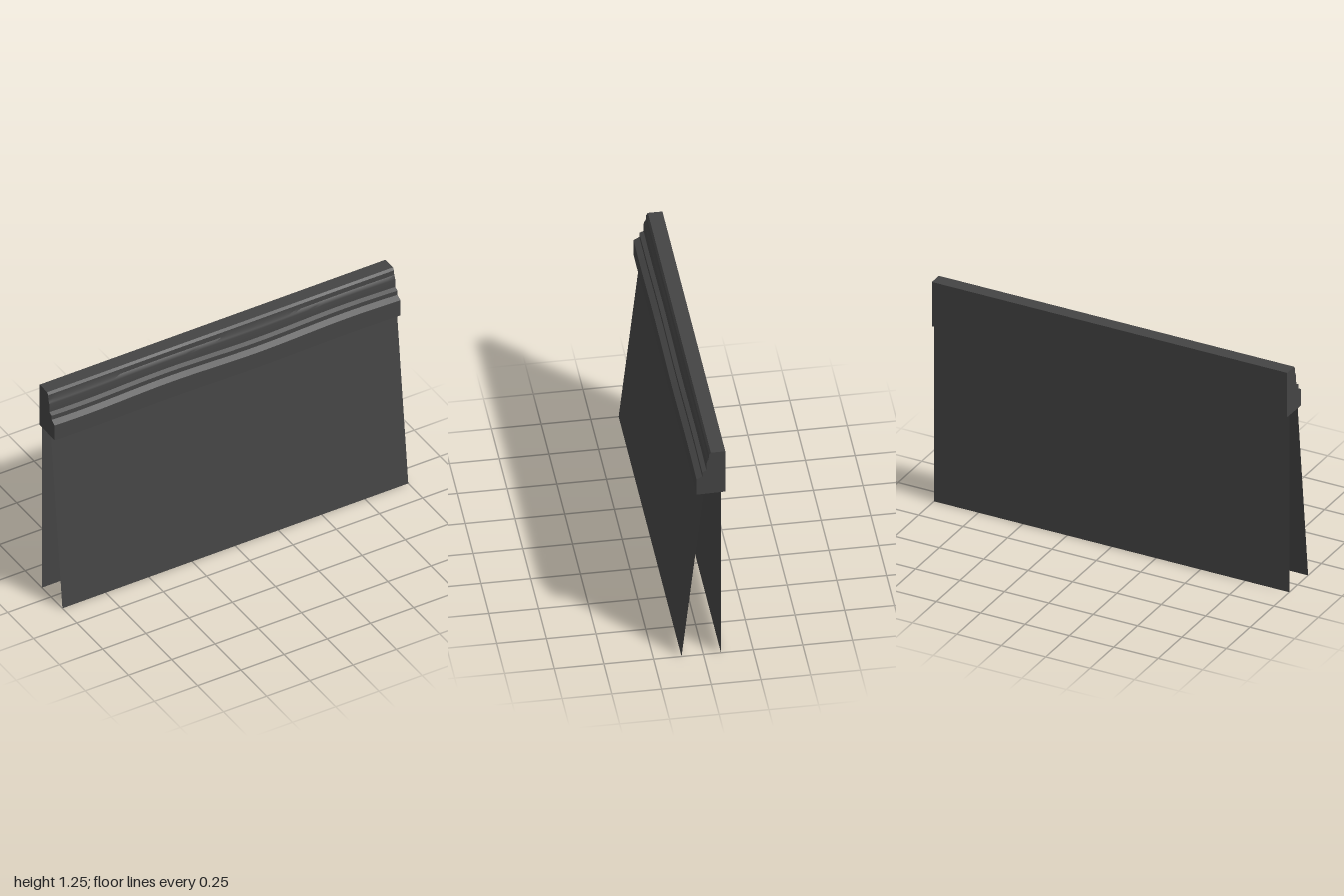
import * as THREE from 'three';
import { toCreasedNormals } from 'three/addons/utils/BufferGeometryUtils.js';

const material = new THREE.MeshStandardMaterial({ color: 0x444444, side: THREE.DoubleSide });
const BACK = -0.11;

// Stepped moulding section (z, y), swept along x with gently wavy front ledges
function createMoulding() {
  const profile = [
    [BACK, 1.0], [0.035, 0.998], [0.035, 1.093], [0.006, 1.109], [0.006, 1.134],
    [-0.015, 1.144], [-0.016, 1.188], [-0.019, 1.198], [-0.026, 1.21],
    [-0.028, 1.237], [-0.037, 1.25], [BACK, 1.25],
  ];
  const shape = new THREE.Shape(profile.map(([z, y]) => new THREE.Vector2(z, y)));
  const geometry = new THREE.ExtrudeGeometry(shape, { depth: 2, steps: 48, bevelEnabled: false });
  geometry.rotateY(-Math.PI / 2).translate(1, 0, 0);

  const p = geometry.attributes.position;
  for (let i = 0; i < p.count; i++) {
    const x = p.getX(i), y = p.getY(i);
    if (p.getZ(i) < BACK + 0.01) continue;
    const strength = y < 1.05 ? 0.003 : 0.006 * THREE.MathUtils.clamp((1.25 - y) / 0.1, 0, 1);
    p.setY(i, y + strength * Math.cos((2 * Math.PI * (x + 0.33)) / 1.03));
  }
  const mesh = new THREE.Mesh(toCreasedNormals(geometry, 0.45), material);
  mesh.name = 'moulding';
  return mesh;
}

// Thin sheet hanging from the moulding to the ground
function createPanel(name, topZ, bottomZ) {
  const geometry = new THREE.PlaneGeometry(2, 1).translate(0, 0.5, 0);
  const p = geometry.attributes.position;
  for (let i = 0; i < p.count; i++) p.setZ(i, THREE.MathUtils.lerp(bottomZ, topZ, p.getY(i)));
  geometry.computeVertexNormals();
  const mesh = new THREE.Mesh(geometry, material);
  mesh.name = name;
  return mesh;
}

export function createModel() {
  const model = new THREE.Group();
  model.name = 'mouldingWithPanels';
  model.add(
    createMoulding(),
    createPanel('slopingFrontPanel', 0.0, 0.11),
    createPanel('uprightBackPanel', -0.088, -0.088),
  );
  return model;
}
